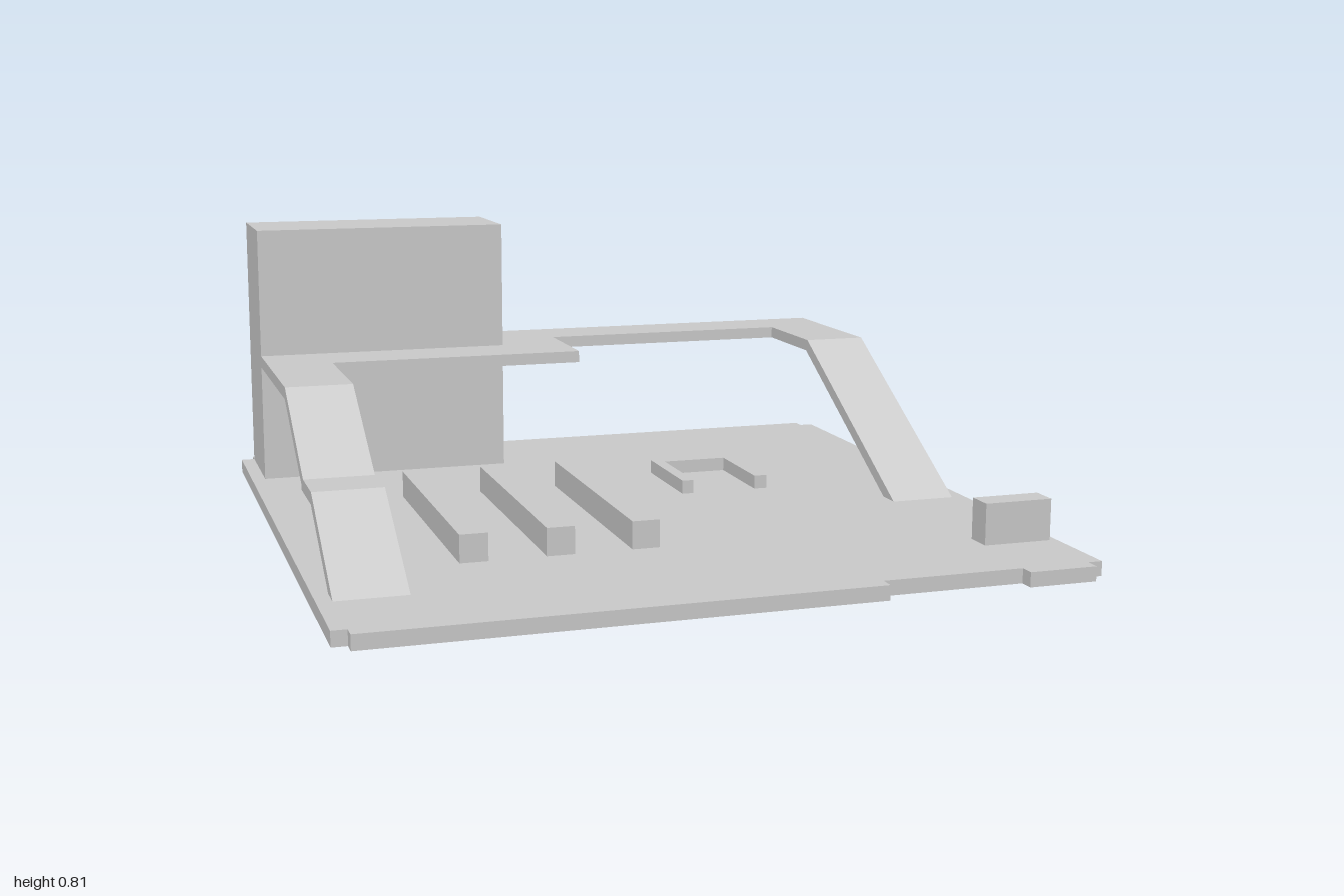
import * as THREE from 'three';

const material = new THREE.MeshStandardMaterial({ color: 0xcccccc, flatShading: true });

const shapeOf = (points) => new THREE.Shape(points.map(([a, b]) => new THREE.Vector2(a, b)));

function part(name, geometry) {
  const mesh = new THREE.Mesh(geometry, material);
  mesh.name = name;
  return mesh;
}

// Box given by its limits on each axis
function block(name, [x0, x1], [y0, y1], [z0, z1]) {
  const mesh = part(name, new THREE.BoxGeometry(x1 - x0, y1 - y0, z1 - z0));
  mesh.position.set((x0 + x1) / 2, (y0 + y1) / 2, (z0 + z1) / 2);
  return mesh;
}

// Horizontal slab from an [x, z] outline
function slab(name, outline, y0, y1) {
  const geometry = new THREE.ExtrudeGeometry(shapeOf(outline.map(([x, z]) => [x, -z])),
    { depth: y1 - y0, bevelEnabled: false });
  geometry.rotateX(-Math.PI / 2).translate(0, y0, 0);
  return part(name, geometry);
}

// Ramp from a [z, y] side profile, spanning x0 to x1
function ramp(name, profile, x0, x1) {
  const geometry = new THREE.ExtrudeGeometry(shapeOf(profile), { depth: x1 - x0, bevelEnabled: false });
  geometry.rotateY(-Math.PI / 2).translate(x1, 0, 0);
  return part(name, geometry);
}

export function createModel() {
  const model = new THREE.Group();
  const floorTop = 0.04, deckTop = 0.425, deckBottom = 0.39;
  const edge = 0.96, inner = 0.77;

  // Floor plate with stepped corners and a notch in the front edge
  model.add(slab('floor', [
    [-edge, -1], [edge, -1], [edge, -edge], [1, -edge], [1, edge], [edge, edge],
    [edge, 1], [inner, 1], [inner, edge], [0.38, edge], [0.38, 1],
    [-edge, 1], [-edge, edge], [-1, edge], [-1, -edge], [-edge, -edge],
  ], 0, floorTop));

  // Tower in the back corner
  model.add(block('tower', [-edge, -0.2], [floorTop, 0.81], [-edge, -0.655]));

  // Raised walkway around the back
  model.add(slab('walkway', [
    [-edge, -edge], [edge, -edge], [edge, -0.465], [inner, -0.465], [inner, -0.775],
    [0, -0.775], [0, -0.465], [-inner, -0.465], [-inner, -0.08], [-edge, -0.08],
  ], deckBottom, deckTop));

  // Ramp with a landing, and the straight ramp opposite
  model.add(ramp('landingRamp', [
    [-0.08, deckTop], [0.25, 0.235], [0.4, 0.235], [0.73, floorTop], [0.66, floorTop],
    [0.39, 0.2], [0.215, 0.2], [0.215, 0.215], [-0.09, deckBottom],
  ], -edge, -inner));
  model.add(ramp('straightRamp', [
    [-0.465, deckTop], [0.2, floorTop], [0.13, floorTop], [-0.475, deckBottom],
  ], inner, edge));

  // Row of raised bars
  for (let i = 0; i < 3; i++) {
    const x = -0.615 + i * 0.23;
    model.add(block('bar' + (i + 1), [x, x + 0.075], [0.065, 0.14], [-0.19, 0.575]));
  }

  // Low U-shaped rail
  model.add(slab('uRail', [
    [0.21, -0.385], [0.48, -0.385], [0.48, -0.08], [0.44, -0.08],
    [0.44, -0.35], [0.245, -0.35], [0.245, -0.08], [0.21, -0.08],
  ], floorTop, 0.08));

  // Small box near the front corner
  model.add(block('cornerBox', [0.785, 0.98], [floorTop, 0.155], [0.655, 0.73]));

  return model;
}
